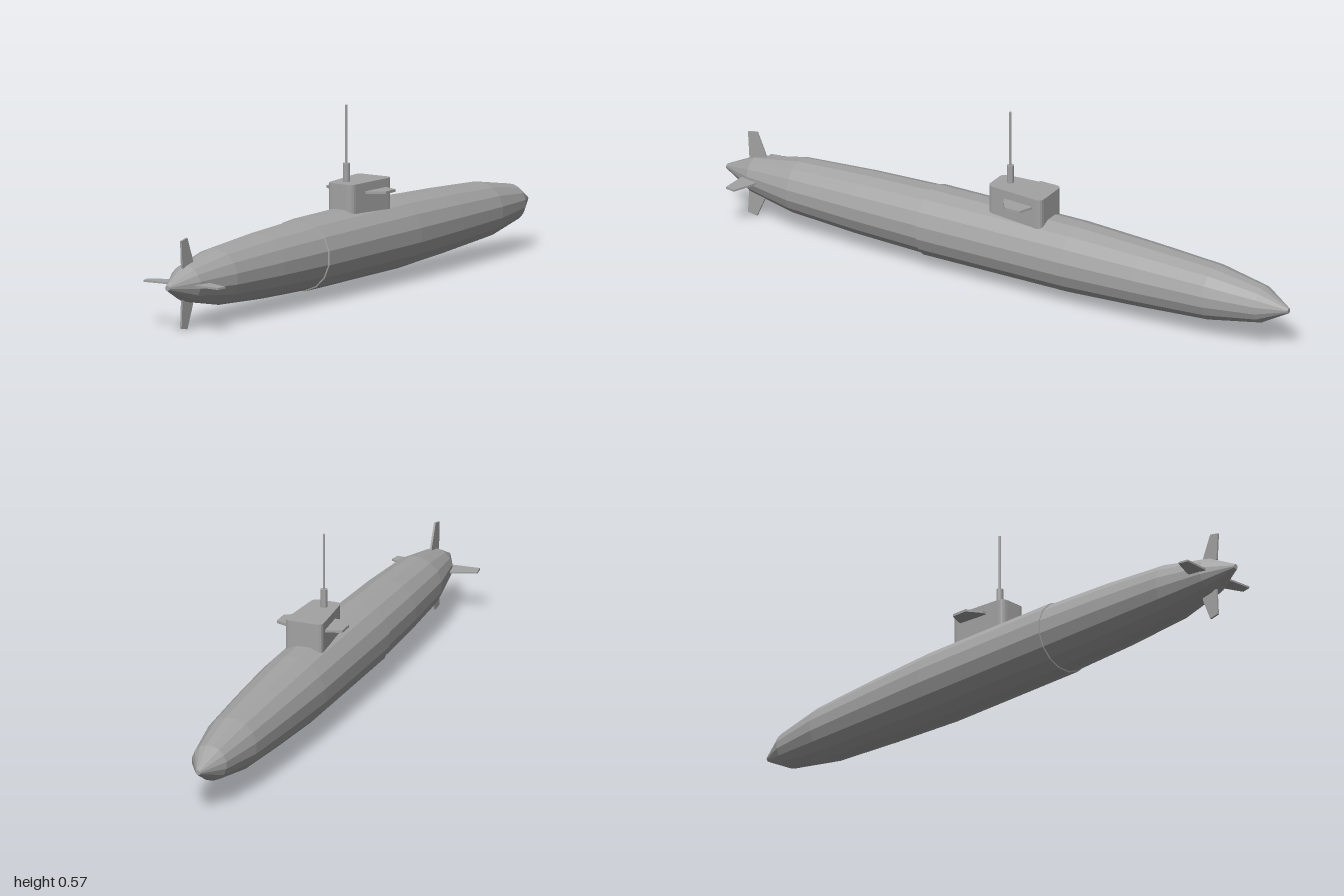
import * as THREE from 'three';

const AXIS_Y = 0.142;

export function createModel() {
  const model = new THREE.Group();
  const grey = new THREE.MeshStandardMaterial({ color: 0xa3a3a3, flatShading: true });
  grey.name = 'hull grey';

  const add = (name, geometry, x = 0, y = 0, z = 0) => {
    const mesh = new THREE.Mesh(geometry, grey);
    mesh.name = name;
    mesh.position.set(x, y, z);
    model.add(mesh);
    return mesh;
  };

  // Flat plate outlined in (distance from axis, z), lying level
  const plate = (outline, thickness) => {
    const shape = new THREE.Shape(outline.map(([r, z]) => new THREE.Vector2(r, z)));
    return new THREE.ExtrudeGeometry(shape, { depth: thickness, bevelEnabled: false })
      .translate(0, 0, -thickness / 2)
      .rotateX(Math.PI / 2);
  };

  // Sixteen-sided hull, with a small step at the aft joint
  const profile = [
    [0, -1], [0.008, -1], [0.058, -0.91], [0.088, -0.74], [0.102, -0.5], [0.113, -0.25],
    [0.113, 0.265], [0.109, 0.266], [0.102, 0.5], [0.088, 0.74], [0.057, 0.9],
    [0.008, 1], [0, 1],
  ].map(([r, z]) => new THREE.Vector2(r, z));
  add('hull', new THREE.LatheGeometry(profile, 16, Math.PI / 16).rotateX(Math.PI / 2), 0, AXIS_Y);

  // Tapered conning tower with rounded corners
  const corners = [[-0.063, -0.155], [0.063, -0.155], [0.046, 0.045], [-0.046, 0.045]]
    .map(([x, z]) => new THREE.Vector2(x, z));
  const towerShape = new THREE.Shape();
  corners.forEach((corner, i) => {
    const before = corners[(i + 3) % 4];
    const after = corners[(i + 1) % 4];
    const start = corner.clone().add(before.clone().sub(corner).setLength(0.02));
    const end = corner.clone().add(after.clone().sub(corner).setLength(0.02));
    if (i === 0) towerShape.moveTo(start.x, start.y);
    else towerShape.lineTo(start.x, start.y);
    towerShape.quadraticCurveTo(corner.x, corner.y, end.x, end.y);
  });
  towerShape.closePath();
  const tower = new THREE.ExtrudeGeometry(towerShape, { depth: 0.13, bevelEnabled: false, curveSegments: 4 })
    .rotateX(Math.PI / 2);
  add('conningTower', tower, 0.003, 0.332);

  // Diving planes on the tower
  const planeOutline = [[0.04, -0.125], [0.065, -0.122], [0.109, -0.105], [0.109, -0.052], [0.065, -0.022], [0.04, -0.02]];
  for (const [name, turn] of [['leftTowerPlane', 0], ['rightTowerPlane', Math.PI]]) {
    add(name, plate(planeOutline, 0.008).rotateZ(turn), 0.001, 0.301);
  }

  // Periscope: housing and thin mast
  add('periscopeHousing', new THREE.CylinderGeometry(0.011, 0.011, 0.07, 10), -0.005, 0.355, -0.005);
  add('periscopeMast', new THREE.CylinderGeometry(0.004, 0.004, 0.19, 8), -0.005, 0.475, -0.005);

  // Four tail fins around the stern
  const finOutline = [[0.05, 0.856], [0.08, 0.866], [0.142, 0.893], [0.136, 0.925], [0.05, 0.92]];
  ['leftTailFin', 'upperTailFin', 'rightTailFin', 'lowerTailFin'].forEach((name, i) => {
    add(name, plate(finOutline, 0.006).rotateZ((i * Math.PI) / 2), 0, AXIS_Y);
  });

  return model;
}
